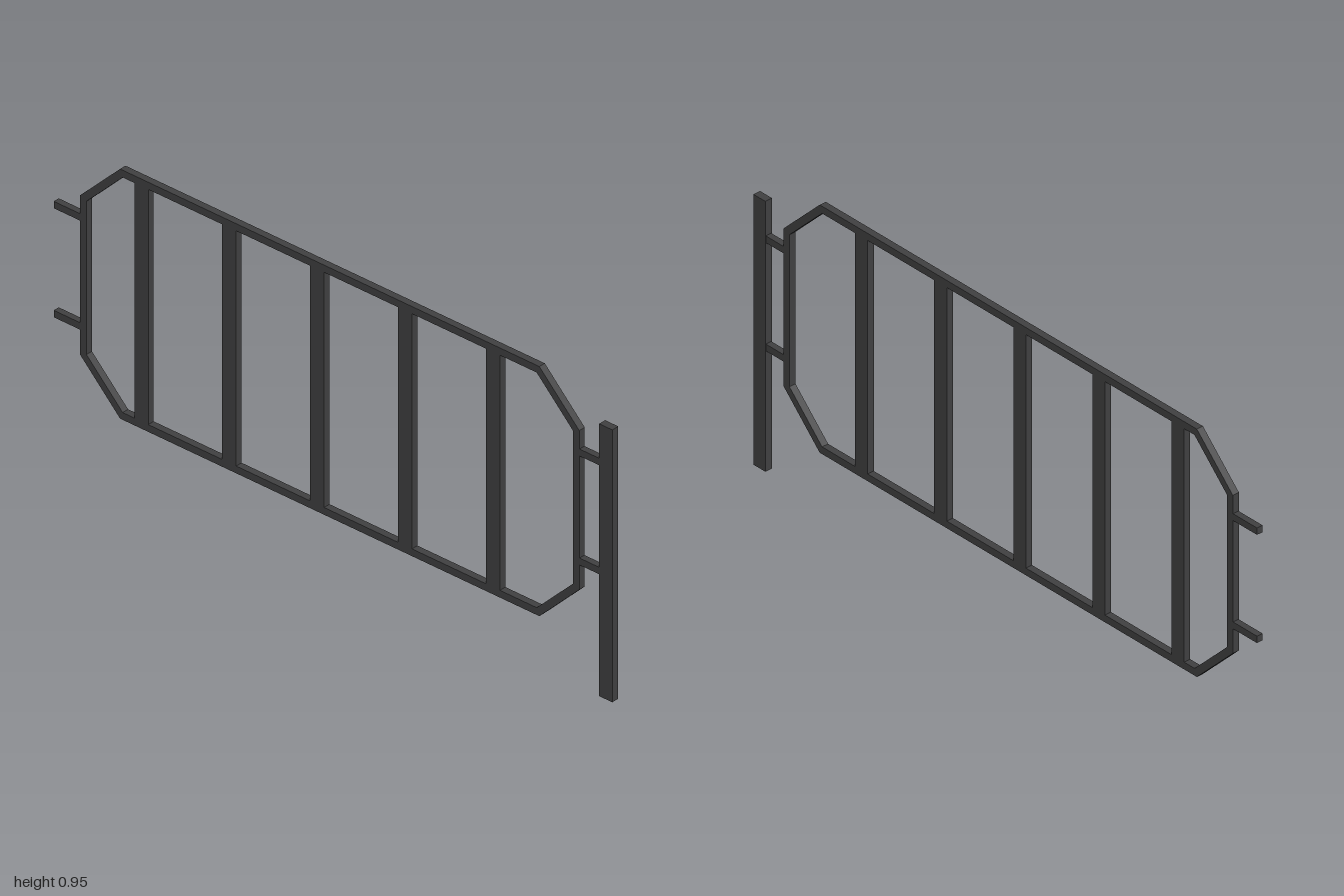
import * as THREE from 'three';

export function createModel() {
  const group = new THREE.Group();
  group.name = 'gate';
  const iron = new THREE.MeshStandardMaterial({ color: 0x404041 });
  iron.name = 'dark iron';

  const DEPTH = 0.022; // thickness across x
  const RAIL = 0.023; // width of the frame rail
  const Z0 = -0.905, Z1 = 0.881, Y0 = 0.163, Y1 = 0.953, CUT = 0.143;

  function add(name, geometry) {
    const mesh = new THREE.Mesh(geometry, iron);
    mesh.name = name;
    group.add(mesh);
  }

  // Box given by its z and y limits, centred on x
  function bar(name, za, zb, ya, yb, depth = DEPTH) {
    const g = new THREE.BoxGeometry(depth, yb - ya, zb - za);
    g.translate(0, (ya + yb) / 2, (za + zb) / 2);
    add(name, g);
  }

  // Rectangle with cut corners, inset evenly by t
  function octagon(t) {
    const k = CUT - t * (2 - Math.SQRT2);
    const a = Z0 + t, b = Z1 - t, c = Y0 + t, d = Y1 - t;
    return [
      [a + k, c], [b - k, c], [b, c + k], [b, d - k],
      [b - k, d], [a + k, d], [a, d - k], [a, c + k],
    ].map(([z, y]) => new THREE.Vector2(z, y));
  }

  // Outer frame
  const shape = new THREE.Shape(octagon(0));
  shape.holes.push(new THREE.Path(octagon(RAIL)));
  const frame = new THREE.ExtrudeGeometry(shape, { depth: DEPTH, bevelEnabled: false });
  frame.translate(0, 0, -DEPTH / 2);
  frame.rotateY(-Math.PI / 2);
  add('frame', frame);

  // Upright slats
  for (let i = 0; i < 5; i++) {
    const z = 0.572 - i * 0.3145;
    bar('slat', z - 0.025, z + 0.025, Y0 + RAIL, Y1 - RAIL);
  }

  // Hinge post
  bar('post', 0.953, 1, 0, 0.862, 0.024);

  // Hinge arms at the post, latch arms at the free end
  for (const y of [0.395, 0.74]) {
    bar('hingeArm', Z1, 0.953, y - 0.011, y + 0.011, 0.02);
    bar('latchArm', -1, Z0, y - 0.011, y + 0.011, 0.02);
  }
  return group;
}
